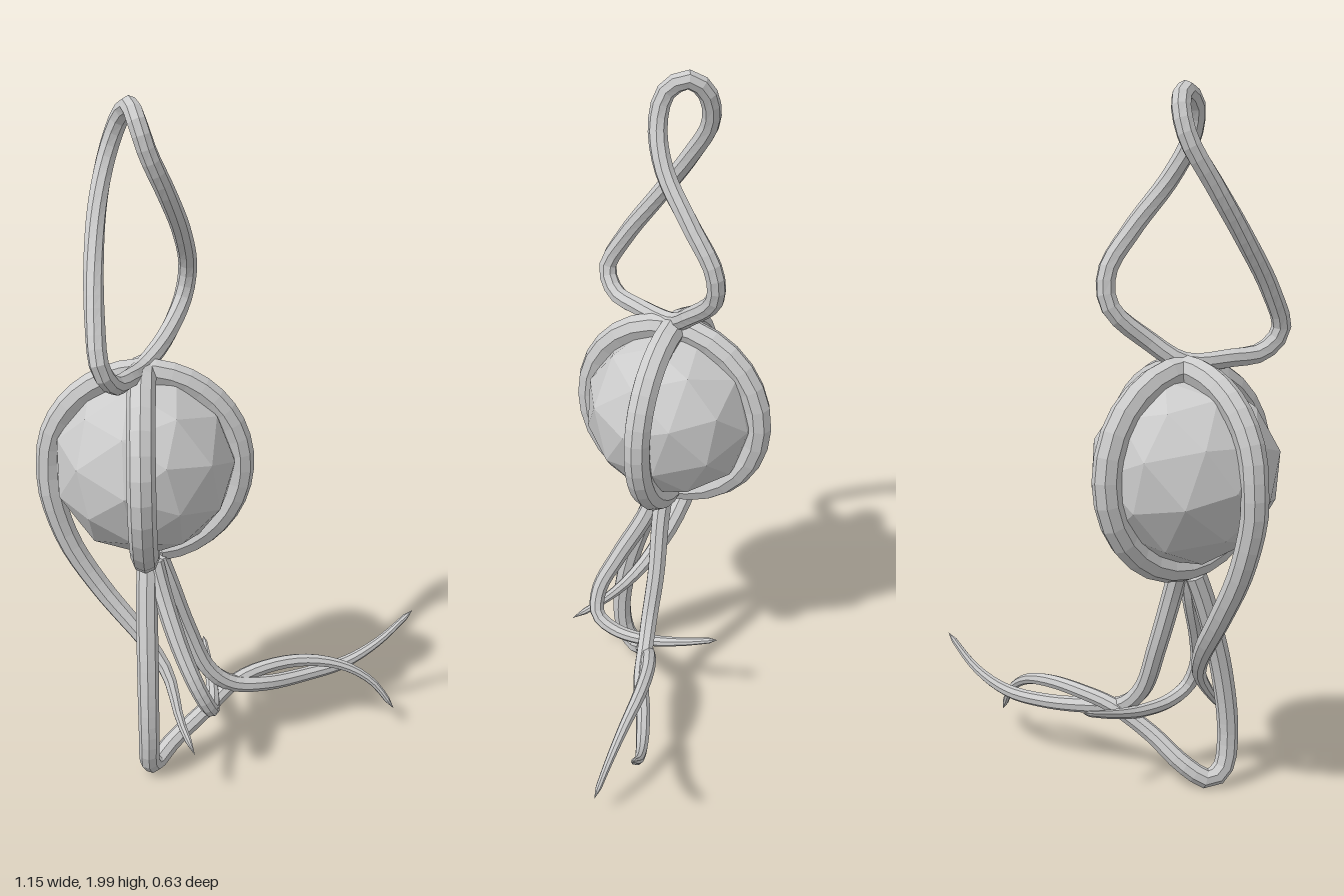
import * as THREE from 'three';

const CX = -0.265, CY = 0.965, RING = 0.276;
const material = new THREE.MeshStandardMaterial({ color: 0xcccccc, flatShading: true });

// Tube along a smooth path; radii are spread evenly over its length
function vine(name, points, radii, segments, closed = false) {
  const curve = new THREE.CatmullRomCurve3(points.map(p => new THREE.Vector3(...p)), closed, 'centripetal');
  const sides = 8;
  const geometry = new THREE.TubeGeometry(curve, segments, 1, sides, closed);
  const pos = geometry.attributes.position;
  const v = new THREE.Vector3();
  for (let i = 0; i <= segments; i++) {
    const t = i / segments;
    const f = t * (radii.length - 1);
    const k = Math.min(Math.floor(f), radii.length - 2);
    let r = THREE.MathUtils.lerp(radii[k], radii[k + 1], f - k);
    const centre = curve.getPointAt(t);
    // close the open ends
    if (!closed && (i === 0 || i === segments)) r = 0.0005;
    for (let j = 0; j <= sides; j++) {
      const n = i * (sides + 1) + j;
      v.fromBufferAttribute(pos, n).sub(centre).multiplyScalar(r).add(centre);
      pos.setXYZ(n, v.x, v.y, v.z);
    }
  }
  geometry.computeVertexNormals();
  const mesh = new THREE.Mesh(geometry, material);
  mesh.name = name;
  return mesh;
}

export function createModel() {
  const group = new THREE.Group();
  group.name = 'cagedStonePendant';

  // Faceted stone
  const stone = new THREE.Mesh(new THREE.IcosahedronGeometry(0.264, 1), material);
  stone.name = 'stone';
  stone.position.set(CX, CY, 0);
  stone.rotation.set(0.25, 0.4, 0.15);
  group.add(stone);

  // Closed ring running front to back
  const ring = [];
  for (let i = 0; i < 16; i++) {
    const a = (i / 16) * Math.PI * 2;
    ring.push([CX, CY + RING * Math.sin(a), RING * Math.cos(a)]);
  }
  group.add(vine('frontToBackRing', ring, [0.04, 0.04], 28, true));

  // Side ring: bottom, left, top, right, then leaving as a tail
  const side = [];
  for (let i = 0; i <= 12; i++) {
    const a = -Math.PI / 2 + (i / 12) * Math.PI * 1.52;
    side.push([CX + RING * Math.cos(a), CY + RING * Math.sin(a), -0.005]);
  }
  side.push(
    [-0.535, 0.87, 0], [-0.49, 0.72, 0], [-0.40, 0.57, 0.01], [-0.29, 0.44, 0.05],
    [-0.21, 0.34, 0.11], [-0.17, 0.23, 0.21], [-0.13, 0.17, 0.29]);
  group.add(vine('sideRingWithTail', side, [0.04, 0.04, 0.04, 0.037, 0.03, 0.008], 50));

  // Twisted hanging loop
  group.add(vine('hangingLoop', [
    [-0.26, 1.26, 0], [-0.30, 1.265, 0.13], [-0.335, 1.28, 0.22], [-0.365, 1.34, 0.26],
    [-0.378, 1.45, 0.205], [-0.382, 1.6, 0.095], [-0.372, 1.73, 0], [-0.345, 1.85, -0.07],
    [-0.31, 1.94, -0.065], [-0.283, 1.973, -0.025], [-0.262, 1.94, 0.03], [-0.235, 1.86, 0.043],
    [-0.19, 1.75, 0.005], [-0.15, 1.62, -0.09], [-0.135, 1.5, -0.17], [-0.15, 1.41, -0.17],
    [-0.20, 1.32, -0.08],
  ], [0.027, 0.027], 56, true));

  // Tendrils below the stone
  group.add(vine('longLoopTendril', [
    [-0.26, 0.69, 0.03], [-0.265, 0.58, 0.075], [-0.265, 0.36, 0.145], [-0.265, 0.16, 0.173],
    [-0.265, 0.06, 0.155], [-0.25, 0.032, 0.115], [-0.20, 0.07, 0.065], [-0.10, 0.15, 0.02],
    [0, 0.22, -0.04], [0.10, 0.245, -0.08], [0.22, 0.25, -0.105], [0.34, 0.225, -0.11],
    [0.43, 0.17, -0.105], [0.50, 0.08, -0.09],
  ], [0.032, 0.032, 0.03, 0.025, 0.02, 0.008], 48));

  group.add(vine('sweepingTendril', [
    [-0.24, 0.70, 0.01], [-0.205, 0.6, 0.01], [-0.15, 0.43, 0], [-0.09, 0.29, -0.003],
    [-0.02, 0.225, -0.02], [0.09, 0.2, -0.055], [0.22, 0.19, -0.12], [0.35, 0.2, -0.175],
    [0.46, 0.25, -0.215], [0.57, 0.345, -0.245],
  ], [0.03, 0.028, 0.025, 0.02, 0.008], 40));

  group.add(vine('backCurledTendril', [
    [-0.25, 0.69, 0.03], [-0.22, 0.58, 0.07], [-0.17, 0.44, 0.14], [-0.12, 0.33, 0.185],
    [-0.085, 0.255, 0.175], [-0.075, 0.22, 0.11], [-0.075, 0.215, 0], [-0.085, 0.235, -0.11],
    [-0.10, 0.27, -0.23],
  ], [0.03, 0.028, 0.024, 0.019, 0.008], 36));

  return group;
}
